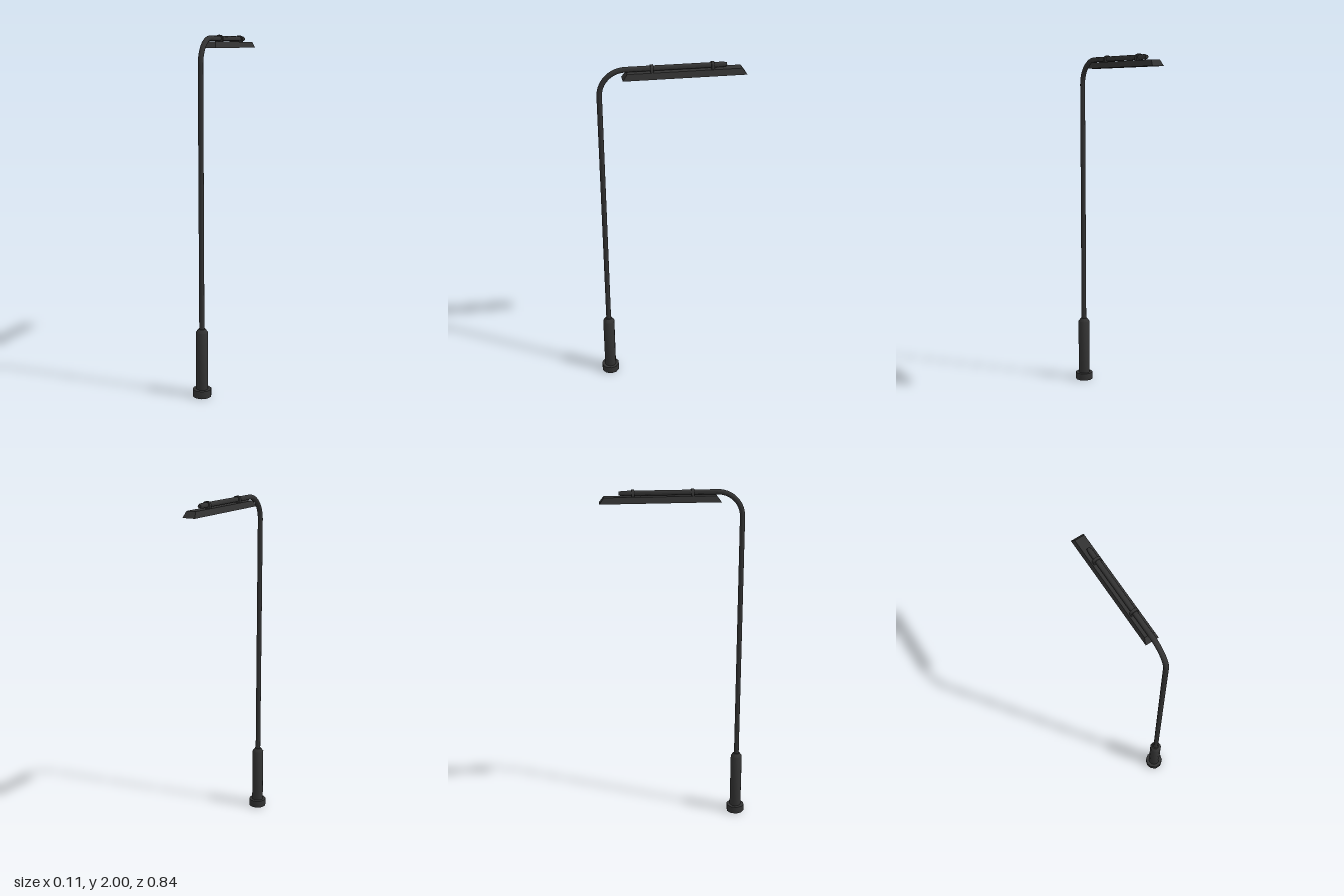
import * as THREE from 'three';
import { toCreasedNormals } from 'three/addons/utils/BufferGeometryUtils.js';

const POLE_Z = 0.368, POLE_R = 0.0145, BEND_R = 0.14, ARM_Y = 1.98;
const LAMP_Z = -0.088;

export function createModel() {
  const model = new THREE.Group();
  const dark = new THREE.MeshStandardMaterial({ color: 0x333333 });
  const light = new THREE.MeshStandardMaterial({ color: 0xcccccc });

  function add(name, geometry, material, x, y, z) {
    const mesh = new THREE.Mesh(geometry, material);
    mesh.name = name;
    mesh.position.set(x, y, z);
    model.add(mesh);
    return mesh;
  }

  // Surface turned from a [radius, height] profile, with crisp rims
  function turned(profile, sides) {
    const points = profile.map(([r, y]) => new THREE.Vector2(r, y));
    return toCreasedNormals(new THREE.LatheGeometry(points, sides, Math.PI / 2), 0.65);
  }

  // Skin between rectangles [halfX, halfZ, y], closed at the first one
  function rectangleLoft(rings) {
    const corners = rings.map(([w, d, y]) => [[w, y, d], [w, y, -d], [-w, y, -d], [-w, y, d]]);
    const positions = [];
    const quad = (a, b, c, d) => positions.push(...a, ...b, ...c, ...a, ...c, ...d);
    quad(...corners[0]);
    for (let i = 0; i + 1 < rings.length; i++) {
      for (let k = 0; k < 4; k++) {
        const n = (k + 1) % 4;
        quad(corners[i][k], corners[i + 1][k], corners[i + 1][n], corners[i][n]);
      }
    }
    const geometry = new THREE.BufferGeometry();
    geometry.setAttribute('position', new THREE.Float32BufferAttribute(positions, 3));
    geometry.computeVertexNormals();
    return geometry;
  }

  // Footing and the thicker lower column with its tapered shoulder
  add('baseFooting', turned([[0, 0], [0.053, 0], [0.053, 0.043], [0.03, 0.043]], 10), dark, 0, 0, POLE_Z);
  add('lowerColumn', turned([[0.034, 0.04], [0.034, 0.373], [0.02, 0.393], [0.01, 0.393]], 12), dark, 0, 0, POLE_Z);

  // Pole, quarter bend and horizontal arm with a tapered tip
  const bendY = ARM_Y - BEND_R, bendZ = POLE_Z - BEND_R;
  const poleBottom = 0.38;
  add('pole', new THREE.CylinderGeometry(POLE_R, POLE_R, bendY - poleBottom, 12, 1, true), dark,
    0, (bendY + poleBottom) / 2, POLE_Z);
  const bend = add('poleBend', new THREE.TorusGeometry(BEND_R, POLE_R, 12, 14, Math.PI / 2), dark, 0, bendY, bendZ);
  bend.rotation.y = -Math.PI / 2;
  const armLength = bendZ + 0.295;
  const arm = add('arm', turned([[POLE_R, 0], [POLE_R, armLength], [0.01, armLength + 0.02], [0, armLength + 0.02]], 12),
    dark, 0, ARM_Y, bendZ);
  arm.rotation.x = -Math.PI / 2;

  // Sloped lamp housing with a rim and a recess underneath
  add('lampHousing', rectangleLoft([
    [0.028, 0.308, 1.963],
    [0.037, 0.333, 1.929],
    [0.027, 0.312, 1.929],
    [0.023, 0.305, 1.939],
  ]), dark, 0, 0, LAMP_Z);
  const panel = add('lightPanel', new THREE.PlaneGeometry(0.048, 0.612), light, 0, 1.938, LAMP_Z);
  panel.rotation.x = Math.PI / 2;

  // Two straps holding the lamp to the arm
  const strap = new THREE.Shape();
  strap.moveTo(-0.022, -0.022);
  strap.lineTo(0.022, -0.022);
  strap.lineTo(0.022, 0);
  strap.absellipse(0, 0, 0.022, 0.02, 0, Math.PI, false);
  strap.closePath();
  const strapGeometry = toCreasedNormals(
    new THREE.ExtrudeGeometry(strap, { depth: 0.016, bevelEnabled: false, curveSegments: 8 }), 0.6);
  strapGeometry.translate(0, 0, -0.008);
  for (const [name, z] of [['frontStrap', 0.088], ['backStrap', -0.238]]) {
    add(name, strapGeometry, dark, 0, ARM_Y, z);
  }

  return model;
}
